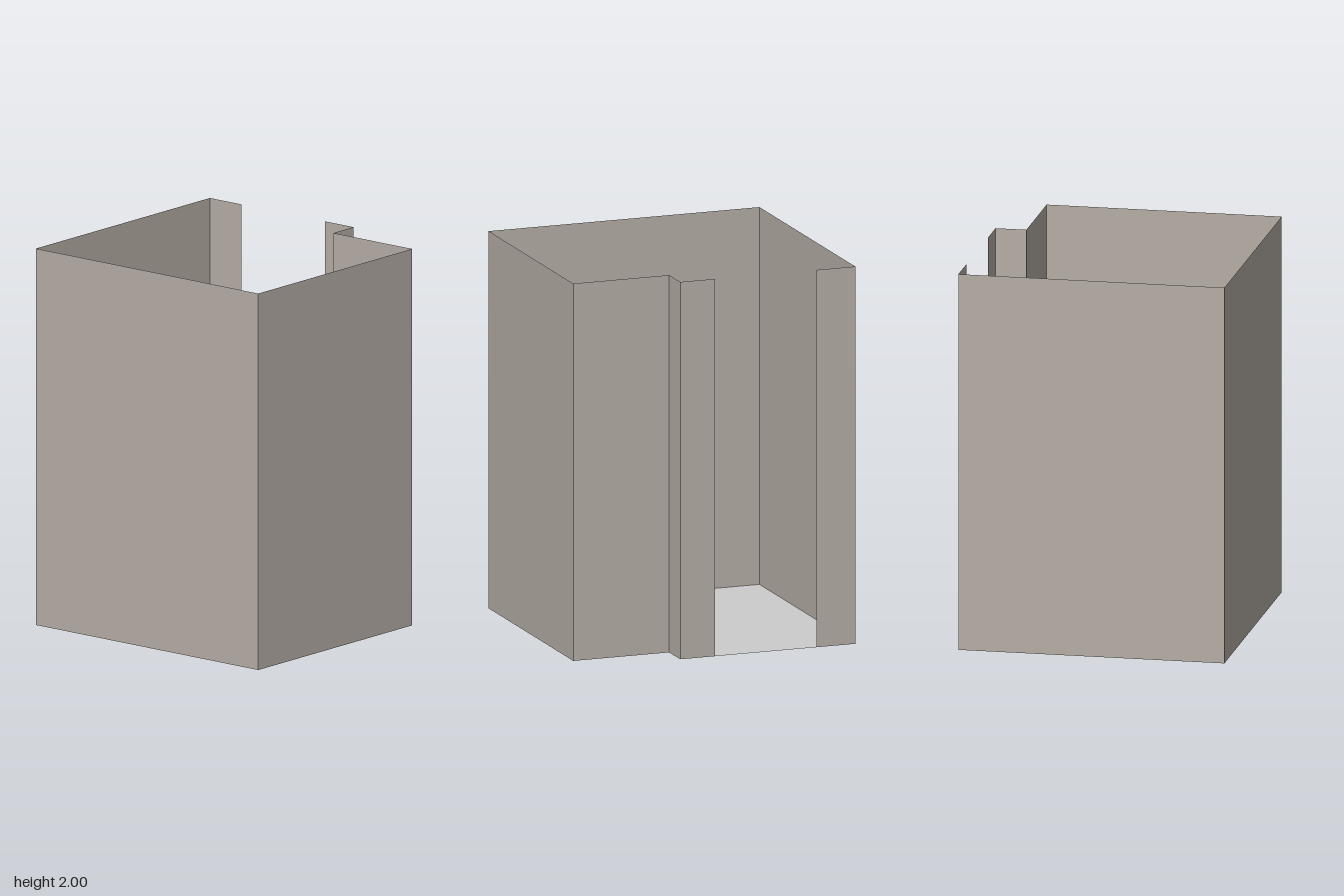
import * as THREE from 'three';

const HEIGHT = 2;

// Room outline as [x, z], starting at the front left of the plan and going round past the notch
const OUTLINE = [
  [-0.742, 0.702], [0.75, 0.688], [0.741, -0.548],
  [0.213, -0.543], [0.211, -0.705], [-0.753, -0.697],
];
const DOORWAY = { from: 0.02, to: -0.54 };

export function createModel() {
  const room = new THREE.Group();
  room.name = 'openRoom';

  const wallPaint = new THREE.MeshStandardMaterial({ color: 0xb5ada5, side: THREE.DoubleSide });
  wallPaint.name = 'warmGreyWall';
  const floorPaint = new THREE.MeshStandardMaterial({ color: 0xcccccc, side: THREE.DoubleSide });
  floorPaint.name = 'lightGreyFloor';

  // Sheet wall standing between two plan points, facing outward
  function addWall(name, [ax, az], [bx, bz]) {
    const dx = bx - ax, dz = bz - az;
    const wall = new THREE.Mesh(new THREE.PlaneGeometry(Math.hypot(dx, dz), HEIGHT), wallPaint);
    wall.name = name;
    wall.position.set((ax + bx) / 2, HEIGHT / 2, (az + bz) / 2);
    wall.rotation.y = Math.atan2(-dz, dx);
    room.add(wall);
  }

  // Unbroken walls
  ['frontWall', 'leftWall', 'backRecessWall', 'notchWall'].forEach((name, i) =>
    addWall(name, OUTLINE[i], OUTLINE[i + 1]));
  addWall('rightWall', OUTLINE[5], OUTLINE[0]);

  // Back wall in two strips, with a full-height doorway between them
  const [start, end] = [OUTLINE[4], OUTLINE[5]];
  const onBack = (x) => [x, start[1] + (end[1] - start[1]) * (x - start[0]) / (end[0] - start[0])];
  addWall('backWallLeftOfDoorway', start, onBack(DOORWAY.from));
  addWall('backWallRightOfDoorway', onBack(DOORWAY.to), end);

  // Floor filling the outline
  const plan = new THREE.Shape(OUTLINE.map(([x, z]) => new THREE.Vector2(x, -z)));
  const floor = new THREE.Mesh(new THREE.ShapeGeometry(plan).rotateX(-Math.PI / 2), floorPaint);
  floor.name = 'floor';
  room.add(floor);

  return room;
}
